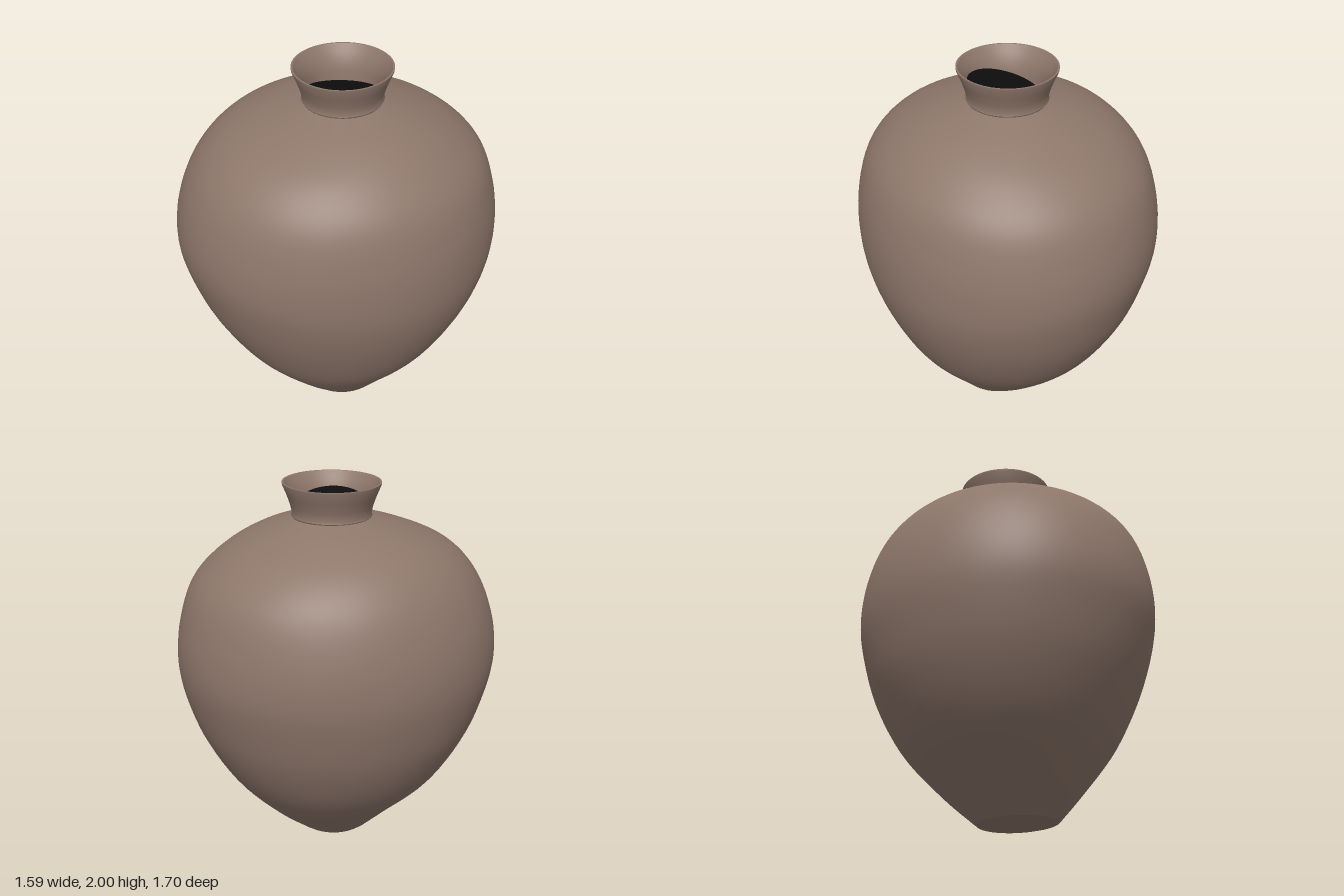
import * as THREE from 'three';
import { toCreasedNormals } from 'three/addons/utils/BufferGeometryUtils.js';

// Body outline: height, then the extents along x and z at that height
const OUTLINE = [
  // y, xMin, xMax, zMin, zMax
  [0.03, -0.18, 0.285, -0.215, 0.245],
  [0.18, -0.33, 0.405, -0.385, 0.395],
  [0.40, -0.545, 0.575, -0.585, 0.58],
  [0.65, -0.69, 0.70, -0.73, 0.72],
  [0.88, -0.765, 0.772, -0.81, 0.805],
  [1.08, -0.795, 0.79, -0.847, 0.847],
  [1.29, -0.775, 0.773, -0.828, 0.828],
  [1.50, -0.70, 0.71, -0.755, 0.75],
  [1.65, -0.58, 0.58, -0.605, 0.61],
  [1.75, -0.41, 0.42, -0.41, 0.40],
  [1.82, -0.19, 0.22, -0.225, 0.18],
];
const NECK_X = 0.015, NECK_Z = -0.022;

// Skin a stack of skewed oval sections, bottom to top
function loft(sections, seg) {
  const pos = [], index = [];
  for (const s of sections) {
    for (let i = 0; i < seg; i++) {
      const a = (i / seg) * Math.PI * 2;
      const k = 1 - s.skew * Math.sin(2 * a);
      const x = s.cx + s.rx * k * Math.cos(a);
      const z = s.cz + s.rz * k * Math.sin(a);
      pos.push(x, s.y + (s.tilt || 0) * (x - s.cx), z);
    }
  }
  for (let j = 0; j < sections.length - 1; j++) {
    for (let i = 0; i < seg; i++) {
      const a = j * seg + i, b = j * seg + ((i + 1) % seg);
      const c = a + seg, d = b + seg;
      index.push(a, c, b, b, c, d);
    }
  }
  const g = new THREE.BufferGeometry();
  g.setAttribute('position', new THREE.Float32BufferAttribute(pos, 3));
  g.setIndex(index);
  return g;
}

function bodySections() {
  const curve = (lo, hi) => new THREE.CatmullRomCurve3(
    OUTLINE.map(r => new THREE.Vector3((r[lo] + r[hi]) / 2, r[0], (r[hi] - r[lo]) / 2)),
    false, 'catmullrom', 0.5);
  const cx = curve(1, 2), cz = curve(3, 4);
  const out = [
    // flat, slightly tilted foot
    { y: 0.009, cx: 0.05, cz: 0.02, rx: 0.001, rz: 0.001, skew: 0 },
    { y: 0.009, cx: 0.05, cz: 0.02, rx: 0.195, rz: 0.205, skew: 0, tilt: 0.045 },
  ];
  const n = 48;
  for (let i = 0; i <= n; i++) {
    const p = cx.getPoint(i / n), q = cz.getPoint(i / n);
    const skew = 0.03 * Math.sin(Math.PI * Math.min(1, Math.max(0, p.y / 1.9)));
    out.push({ y: p.y, cx: p.x, cz: q.x, rx: p.z, rz: q.z, skew });
  }
  return out;
}

export function createModel() {
  const clay = new THREE.MeshStandardMaterial({ color: 0x8e776b });
  clay.name = 'clay';
  const dark = new THREE.MeshStandardMaterial({ color: 0x0d0d0d });
  dark.name = 'dark interior';

  const group = new THREE.Group();
  group.name = 'jar';
  const add = (name, geometry, material) => {
    const m = new THREE.Mesh(geometry, material);
    m.name = name;
    group.add(m);
    return m;
  };

  // Egg-shaped body on a small foot
  add('body', toCreasedNormals(loft(bodySections(), 80), 0.6), clay);

  // Flared neck: outer wall, lip, then inner wall
  const profile = [
    [0.195, 1.80], [0.209, 1.825], [0.205, 1.84], [0.214, 1.88], [0.231, 1.93],
    [0.254, 1.985], [0.255, 1.996], [0.246, 1.996], [0.22, 1.96], [0.197, 1.92],
    [0.185, 1.87], [0.18, 1.80],
  ].map(([r, y]) => new THREE.Vector2(r, y));
  const neck = add('neck', toCreasedNormals(new THREE.LatheGeometry(profile, 64), 0.7), clay);
  neck.position.set(NECK_X, 0, NECK_Z);
  neck.rotation.z = 0.008;
  neck.position.x += 0.015;

  // Dark, sloping opening inside the neck
  const disc = new THREE.CircleGeometry(0.198, 48).rotateX(-Math.PI / 2);
  const p = disc.attributes.position;
  for (let i = 0; i < p.count; i++) p.setY(i, 1.87 + 0.2 * (p.getX(i) + p.getZ(i)));
  disc.computeVertexNormals();
  add('mouthOpening', disc, dark).position.set(NECK_X + 0.005, 0, NECK_Z + 0.003);

  return group;
}
